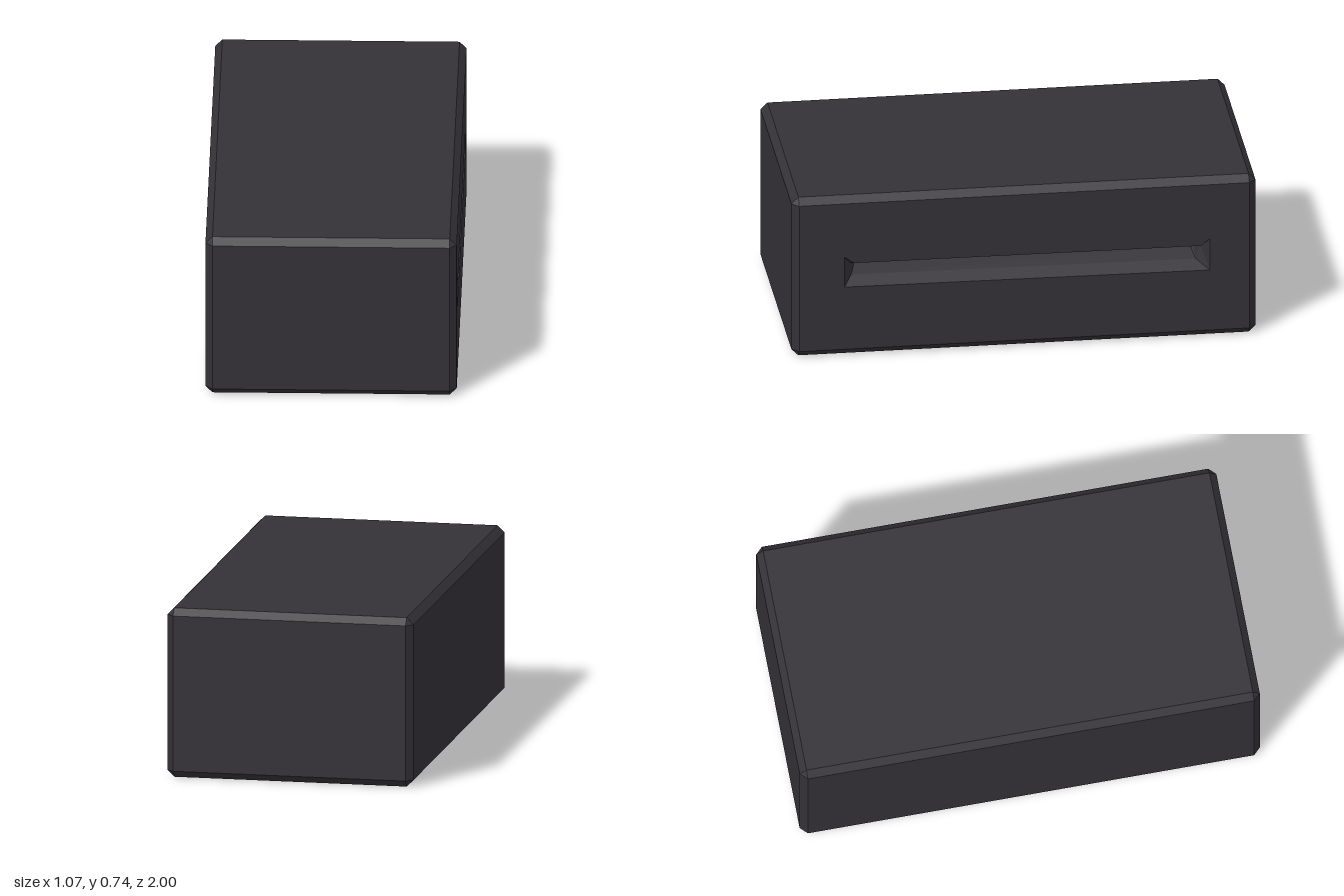
import * as THREE from 'three';
import { mergeGeometries } from 'three/addons/utils/BufferGeometryUtils.js';

const W = 0.537, H = 0.738, L = 1, C = 0.03;

// Section rings are counter-clockwise [u, y] lists at depth w; u becomes -z and w becomes x.
function loft(rings) {
  const pos = [];
  const add = (...tri) => {
    const [a, b, c] = tri.map((p) => new THREE.Vector3(...p));
    if (new THREE.Triangle(a, b, c).getArea() > 1e-7) tri.forEach((p) => pos.push(...p));
  };
  for (let k = 0; k + 1 < rings.length; k++) {
    const r = rings[k], s = rings[k + 1], n = r.pts.length;
    for (let i = 0; i < n; i++) {
      const j = (i + 1) % n;
      const a = [...r.pts[i], r.w], b = [...r.pts[j], r.w];
      const c = [...s.pts[j], s.w], d = [...s.pts[i], s.w];
      add(a, b, c);
      add(a, c, d);
    }
  }
  return new THREE.BufferGeometry().setAttribute('position', new THREE.Float32BufferAttribute(pos, 3));
}

const toVectors = (pts) => pts.map((p) => new THREE.Vector2(...p));

// Flat face closing a ring, optionally with an opening or facing backwards
function cap({ pts, w }, { hole, flip } = {}) {
  const shape = new THREE.Shape(toVectors(pts));
  if (hole) shape.holes.push(new THREE.Path(toVectors(hole)));
  const geo = new THREE.ShapeGeometry(shape);
  if (flip) geo.index.array.reverse();
  const flat = geo.translate(0, 0, w).toNonIndexed();
  flat.deleteAttribute('uv');
  flat.deleteAttribute('normal');
  return flat;
}

// Rectangle inset by d, with corners cut by c
function section(w, d, c) {
  const u = L - d, lo = d, hi = H - d;
  return { w, pts: [
    [-u + c, lo], [u - c, lo], [u, lo + c], [u, hi - c],
    [u - c, hi], [-u + c, hi], [-u, hi - c], [-u, lo + c],
  ] };
}

const endFace = (w) => ({ w, pts: [[-L + C, C], [L - C, C], [L - C, H - C], [-L + C, H - C]] });

function makeMesh(name, parts, material) {
  const geo = mergeGeometries(parts);
  geo.rotateY(Math.PI / 2);
  geo.computeVertexNormals();
  const mesh = new THREE.Mesh(geo, material);
  mesh.name = name;
  return mesh;
}

export function createModel() {
  const group = new THREE.Group();
  group.name = 'slottedBlock';
  const material = new THREE.MeshStandardMaterial({ color: 0x343137, flatShading: true });

  // Slot narrowing inwards in two steps, with a lip along its upper edge
  const slot = [
    { w: W, pts: [[-0.775, 0.32], [0.8, 0.31], [0.8, 0.455], [0.76, 0.425], [-0.735, 0.43], [-0.775, 0.46]] },
    { w: W - 0.05, pts: [[-0.74, 0.355], [0.745, 0.345], [0.765, 0.41], [0.75, 0.408], [-0.725, 0.41], [-0.745, 0.41]] },
    { w: W - 0.11, pts: [[-0.72, 0.384], [0.73, 0.377], [0.74, 0.39], [0.735, 0.392], [-0.715, 0.394], [-0.722, 0.393]] },
  ];

  // Chamfered block, open at the slot
  const body = loft([section(-W, C, 0), section(-W + C, 0, C), section(W - C, 0, C), section(W, C, 0)]);
  group.add(makeMesh('body', [
    body,
    cap(endFace(-W), { flip: true }),
    cap(endFace(W), { hole: slot[0].pts }),
  ], material));

  // Inner walls and floor of the slot
  group.add(makeMesh('slot', [loft(slot), cap(slot[2])], material));
  return group;
}
